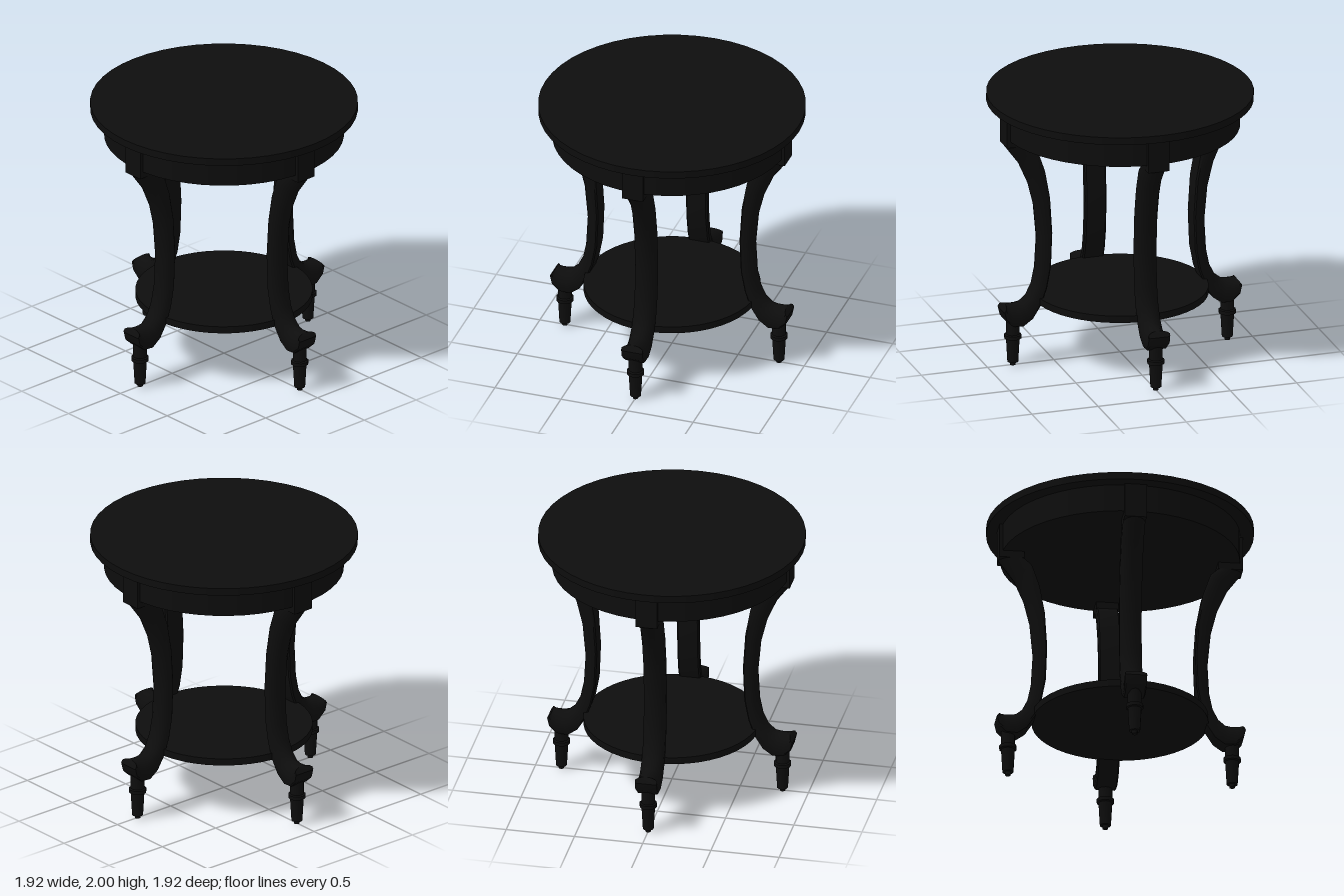
import * as THREE from 'three';
import { toCreasedNormals } from 'three/addons/utils/BufferGeometryUtils.js';

// Cabriole profile: [outerX, outerY, innerX, innerY] from the block down to the scroll
const LEG = [
  [0.88, 1.69, 0.70, 1.69], [0.77, 1.54, 0.645, 1.64], [0.70, 1.38, 0.59, 1.48],
  [0.655, 1.2, 0.552, 1.27], [0.632, 0.95, 0.535, 1.0], [0.645, 0.72, 0.545, 0.74],
  [0.67, 0.6, 0.575, 0.58], [0.71, 0.52, 0.62, 0.455], [0.76, 0.48, 0.68, 0.36],
  [0.80, 0.475, 0.75, 0.31], [0.84, 0.475, 0.83, 0.315], [0.86, 0.475, 0.885, 0.365],
  [0.87, 0.472, 0.90, 0.43],
];

// Cross-section: [share of the way from inner to outer edge, z]; rounded on the outside
const HALF = [[0, 0.07], [0.1, 0.08], [0.5, 0.08], [0.78, 0.06], [0.94, 0.032]];
const SECTION = [
  ...HALF.map(([t, z]) => [t, -z]), [1, 0], ...HALF.slice().reverse(),
];

function legGeometry() {
  const pos = [], idx = [], n = SECTION.length;
  for (const [ox, oy, ix, iy] of LEG) {
    for (const [t, z] of SECTION) pos.push(ix + (ox - ix) * t, iy + (oy - iy) * t, z);
  }
  for (let i = 0; i < LEG.length - 1; i++) {
    for (let j = 0; j < n; j++) {
      const a = i * n + j, b = i * n + (j + 1) % n;
      idx.push(a, b, b + n, a, b + n, a + n);
    }
  }
  // cap at the tip of the scroll
  const end = (LEG.length - 1) * n;
  for (let j = 1; j < n - 1; j++) idx.push(end, end + j, end + j + 1);
  const g = new THREE.BufferGeometry();
  g.setAttribute('position', new THREE.Float32BufferAttribute(pos, 3));
  g.setIndex(idx);
  return toCreasedNormals(g, 0.7);
}

function footGeometry() {
  const profile = [
    [0, 0], [0.02, 0], [0.022, 0.025], [0.04, 0.025], [0.05, 0.2], [0.063, 0.205],
    [0.063, 0.232], [0.05, 0.238], [0.05, 0.36], [0, 0.36],
  ].map(([r, y]) => new THREE.Vector2(r, y));
  return toCreasedNormals(new THREE.LatheGeometry(profile, 12), 0.6);
}

export function createModel() {
  const model = new THREE.Group();
  model.name = 'roundTable';
  const wood = new THREE.MeshStandardMaterial({ color: 0x0d0d0d });
  wood.name = 'blackWood';

  const add = (parent, name, geometry, x = 0, y = 0) => {
    const mesh = new THREE.Mesh(geometry, wood);
    mesh.name = name;
    mesh.position.set(x, y, 0);
    parent.add(mesh);
  };
  const disc = (name, radius, bottom, top) => add(model, name,
    new THREE.CylinderGeometry(radius, radius, top - bottom, 48), 0, (top + bottom) / 2);

  disc('tabletop', 0.96, 1.945, 2);
  disc('apron', 0.86, 1.74, 1.945);
  disc('shelf', 0.635, 0.46, 0.512);

  // Four legs on the axes, each with its top block and turned foot
  const legGeo = legGeometry(), footGeo = footGeometry();
  const blockGeo = new THREE.BoxGeometry(0.18, 0.255, 0.16);
  ['left', 'back', 'right', 'front'].forEach((side, i) => {
    const leg = new THREE.Group();
    leg.name = side + 'Leg';
    add(leg, 'legBlock', blockGeo, 0.79, 1.8175);
    add(leg, 'curvedLeg', legGeo);
    add(leg, 'turnedFoot', footGeo, 0.81);
    leg.rotation.y = i * Math.PI / 2;
    model.add(leg);
  });
  return model;
}
